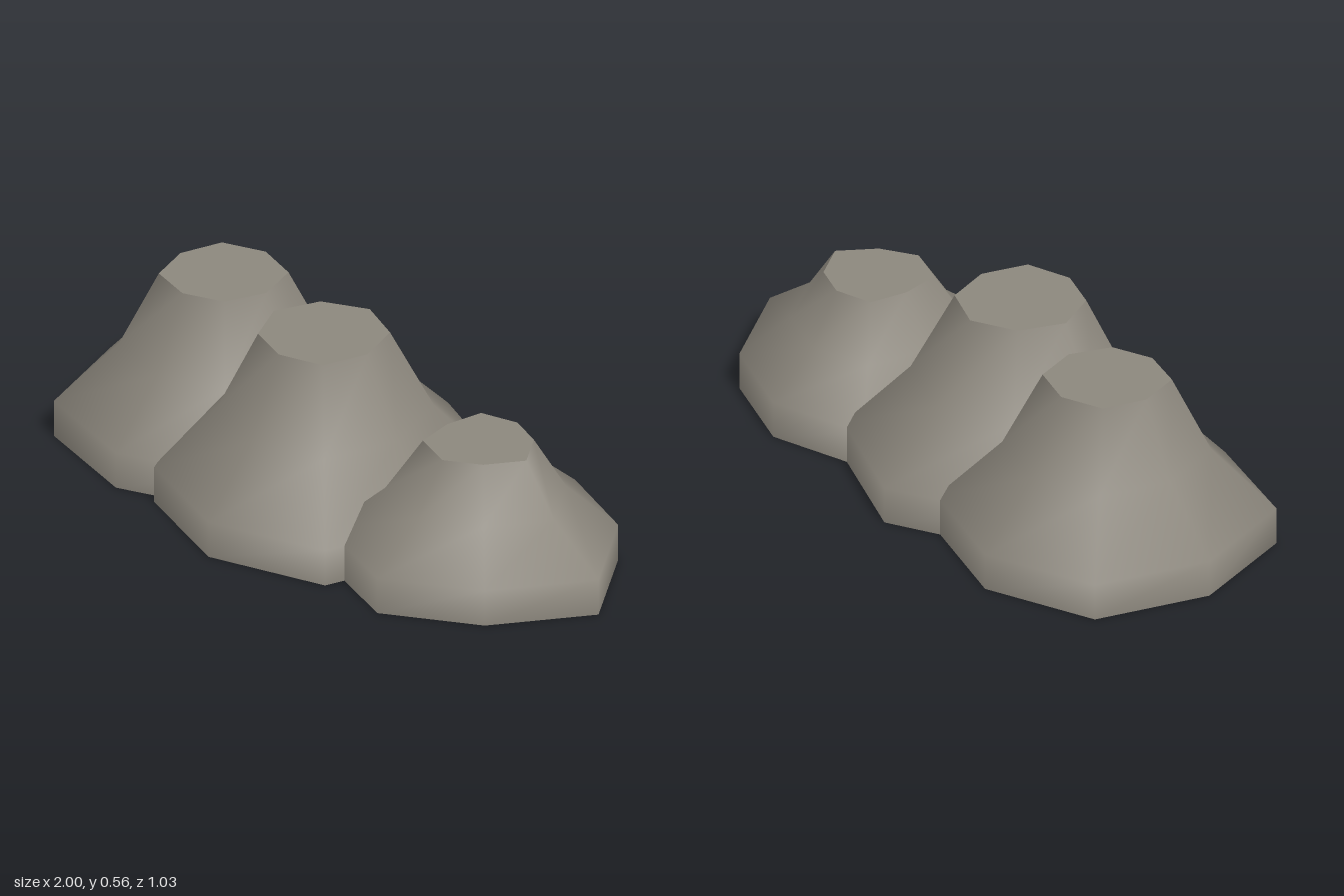
import * as THREE from 'three';

const stone = new THREE.MeshStandardMaterial({ color: 0x8c877d });
stone.name = 'stone';

const SIDES = 8;

// One mound: an uneven octagon, shrunk ring by ring towards a flat top.
// radii run from +x round through +z (front), -x and -z (back).
function moundGeometry(radii, heights, scales) {
  const pos = [];
  const index = [];
  const addRing = (y, s) => {
    const start = pos.length / 3;
    radii.forEach((r, i) => {
      const a = (i / SIDES) * Math.PI * 2;
      pos.push(Math.cos(a) * r * s, y, Math.sin(a) * r * s);
    });
    return start;
  };

  // smooth side wall
  heights.forEach((y, k) => addRing(y, scales[k]));
  for (let k = 0; k < heights.length - 1; k++) {
    for (let i = 0; i < SIDES; i++) {
      const j = (i + 1) % SIDES;
      const a = k * SIDES + i, b = k * SIDES + j;
      const c = a + SIDES, d = b + SIDES;
      index.push(a, c, b, b, c, d);
    }
  }

  // flat top and base with their own vertices, so the rims stay sharp
  const last = heights.length - 1;
  const top = addRing(heights[last], scales[last]);
  const base = addRing(heights[0], scales[0]);
  for (let i = 1; i < SIDES - 1; i++) {
    index.push(top, top + i + 1, top + i);
    index.push(base, base + i, base + i + 1);
  }

  const geo = new THREE.BufferGeometry();
  geo.setAttribute('position', new THREE.Float32BufferAttribute(pos, 3));
  geo.setIndex(index);
  geo.computeVertexNormals();
  return geo;
}

const MOUNDS = [
  {
    name: 'rightMound', x: -0.545, z: -0.05,
    radii: [0.46, 0.46, 0.45, 0.493, 0.455, 0.486, 0.47, 0.50],
    heights: [0, 0.115, 0.305, 0.535], mid: 0.615,
  },
  {
    name: 'middleMound', x: -0.06, z: 0.04,
    radii: [0.487, 0.516, 0.475, 0.488, 0.51, 0.505, 0.53, 0.523],
    heights: [0, 0.115, 0.312, 0.555], mid: 0.625,
  },
  {
    name: 'leftMound', x: 0.53, z: -0.02,
    radii: [0.47, 0.393, 0.44, 0.455, 0.37, 0.435, 0.39, 0.396],
    heights: [0, 0.115, 0.245, 0.40], mid: 0.62,
  },
];

export function createModel() {
  const group = new THREE.Group();
  group.name = 'rockMounds';
  for (const m of MOUNDS) {
    const mesh = new THREE.Mesh(moundGeometry(m.radii, m.heights, [1, 1, m.mid, 0.38]), stone);
    mesh.name = m.name;
    mesh.position.set(m.x, 0, m.z);
    group.add(mesh);
  }
  return group;
}
